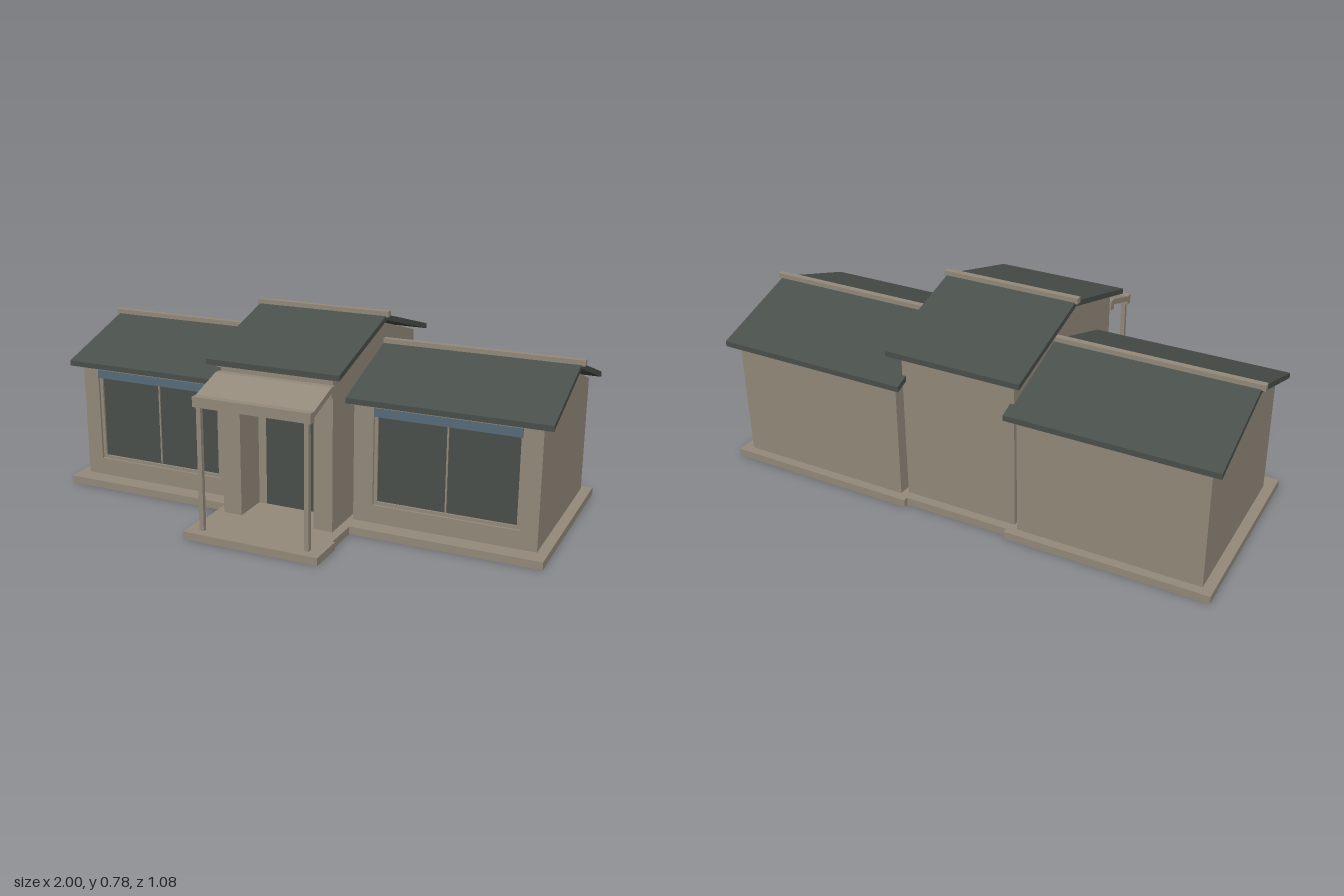
import * as THREE from 'three';

const mat = (name, color) => Object.assign(new THREE.MeshStandardMaterial({ color }), { name });

export function createModel() {
  const stone = mat('warm stone', 0x958b7c);
  const dark = mat('dark slate', 0x4a504b);
  const blue = mat('shade blue', 0x586d7d);
  const house = new THREE.Group();
  house.name = 'house';

  const add = (parent, name, geometry, material) => {
    const mesh = new THREE.Mesh(geometry, material);
    mesh.name = name;
    parent.add(mesh);
    return mesh;
  };
  // Box given by its limits on each axis
  const box = (parent, name, material, x0, x1, y0, y1, z0, z1) => {
    const g = new THREE.BoxGeometry(x1 - x0, y1 - y0, z1 - z0);
    g.translate((x0 + x1) / 2, (y0 + y1) / 2, (z0 + z1) / 2);
    return add(parent, name, g, material);
  };
  // Side profile of [z, y] points, extruded along x
  const prism = (parent, name, material, x0, x1, points) => {
    const shape = new THREE.Shape(points.map(([z, y]) => new THREE.Vector2(-z, y)));
    const g = new THREE.ExtrudeGeometry(shape, { depth: x1 - x0, bevelEnabled: false });
    g.rotateY(Math.PI / 2).translate(x0, 0, 0);
    return add(parent, name, g, material);
  };
  const rect = (P, x0, x1, y0, y1) => new P([[x0, y0], [x1, y0], [x1, y1], [x0, y1]]
    .map(([x, y]) => new THREE.Vector2(x, y)));
  // Rectangular panel with a rectangular opening, extruded along z
  const framed = (parent, name, material, outer, inner, z0, z1) => {
    const shape = rect(THREE.Shape, ...outer);
    shape.holes.push(rect(THREE.Path, ...inner));
    const g = new THREE.ExtrudeGeometry(shape, { depth: z1 - z0, bevelEnabled: false });
    return add(parent, name, g.translate(0, 0, z0), material);
  };
  // Folded roof sheet with a ridge cap
  const roof = (parent, x0, x1, c0, c1, front, ridge, back, eaveY, ridgeY) => {
    const t = 0.021;
    prism(parent, 'roof', dark, x0, x1, [
      [front, eaveY], [ridge, ridgeY], [back, eaveY],
      [back, eaveY - t], [ridge, ridgeY - t], [front, eaveY - t],
    ]);
    box(parent, 'ridgeCap', stone, c0, c1, ridgeY - 0.008, ridgeY + 0.014, ridge - 0.012, ridge + 0.012);
  };

  // Side wings, mirrored by swapping limits
  for (const s of [1, -1]) {
    const wing = new THREE.Group();
    wing.name = s > 0 ? 'leftWing' : 'rightWing';
    house.add(wing);
    const span = (a, b) => (s > 0 ? [a, b] : [-b, -a]);

    box(wing, 'foundation', stone, ...span(0.21, 0.985), 0, 0.03, -0.54, 0.24);
    box(wing, 'walls', stone, ...span(0.245, 0.945), 0.03, 0.49, -0.505, 0.145);
    prism(wing, 'gable', stone, ...span(0.245, 0.945), [[0.17, 0.49], [-0.167, 0.613], [-0.505, 0.49]]);
    box(wing, 'eaveBoard', stone, ...span(0.245, 0.945), 0.487, 0.508, 0.145, 0.2);
    roof(wing, ...span(0.21, 0.985), ...span(0.2, 1), 0.205, -0.167, -0.54, 0.512, 0.637);

    // Front wall with the recessed window
    const opening = [...span(0.322, 0.878), 0.1, 0.484];
    const pane = [...span(0.335, 0.865), 0.112, 0.472];
    framed(wing, 'frontWall', stone, [...span(0.245, 0.945), 0.03, 0.49], opening, 0.145, 0.17);
    framed(wing, 'windowFrame', stone, opening, pane, 0.145, 0.16);
    box(wing, 'windowGlass', dark, pane[0], pane[1], pane[2], pane[3], 0.145, 0.152);
    box(wing, 'windowMullion', stone, ...span(0.597, 0.603), 0.112, 0.472, 0.145, 0.157);
    box(wing, 'windowShade', blue, ...span(0.328, 0.873), 0.446, 0.484, 0.169, 0.178);
  }

  // Central block with a recessed entrance
  const centre = new THREE.Group();
  centre.name = 'centralBlock';
  house.add(centre);
  box(centre, 'foundation', stone, -0.26, 0.26, 0, 0.03, -0.52, 0.39);
  box(centre, 'walls', stone, -0.225, 0.225, 0.03, 0.615, -0.485, 0.17);
  for (const s of [1, -1]) {
    const [a, b] = s > 0 ? [0.15, 0.225] : [-0.225, -0.15];
    box(centre, 'entrancePier', stone, a, b, 0.03, 0.615, 0.17, 0.315);
  }
  box(centre, 'entranceLintel', stone, -0.15, 0.15, 0.485, 0.615, 0.17, 0.315);
  prism(centre, 'gable', stone, -0.225, 0.225, [[0.315, 0.615], [-0.085, 0.735], [-0.485, 0.615]]);
  box(centre, 'eaveBoard', stone, -0.225, 0.225, 0.61, 0.632, 0.29, 0.345);
  roof(centre, -0.265, 0.265, -0.275, 0.275, 0.35, -0.085, -0.525, 0.636, 0.762);

  // Door
  box(centre, 'door', dark, -0.112, 0.108, 0.035, 0.47, 0.17, 0.18);
  box(centre, 'doorHandle', stone, 0.058, 0.064, 0.21, 0.262, 0.18, 0.188);
  box(centre, 'doorShade', blue, -0.15, 0.147, 0.446, 0.484, 0.314, 0.323);

  // Porch
  const porch = new THREE.Group();
  porch.name = 'porch';
  house.add(porch);
  box(porch, 'porchStep', stone, -0.27, 0.27, 0, 0.03, 0.39, 0.54);
  for (const x of [-0.212, 0.212]) {
    box(porch, 'porchPost', stone, x - 0.009, x + 0.009, 0.03, 0.51, 0.488, 0.505);
  }
  box(porch, 'frontBeam', stone, -0.232, 0.232, 0.503, 0.541, 0.483, 0.512);
  box(porch, 'wallBeam', stone, -0.232, 0.232, 0.547, 0.587, 0.315, 0.344);
  prism(porch, 'canopy', stone, -0.232, 0.232, [[0.483, 0.541], [0.344, 0.587], [0.344, 0.564], [0.483, 0.519]]);

  return house;
}
